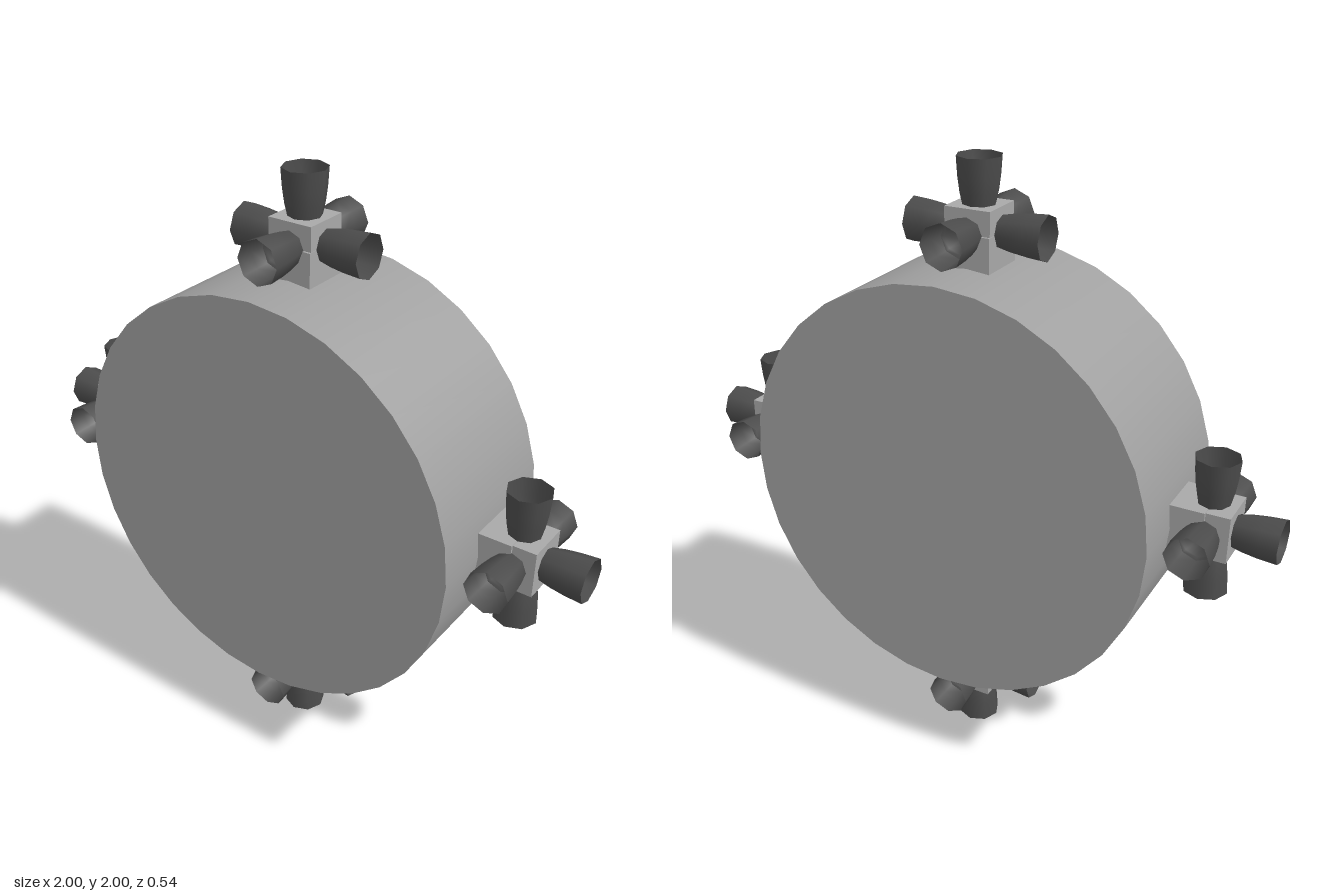
import * as THREE from 'three';

const bodyGrey = new THREE.MeshStandardMaterial({ color: 0xa0a0a0 });
bodyGrey.name = 'body grey';
const blockGrey = new THREE.MeshStandardMaterial({ color: 0xa8a8a8 });
blockGrey.name = 'block grey';
const nozzleGrey = new THREE.MeshStandardMaterial({ color: 0x4c4c4c, side: THREE.DoubleSide });
nozzleGrey.name = 'nozzle dark grey';

function add(parent, name, geometry, material, x = 0, y = 0, z = 0) {
  const mesh = new THREE.Mesh(geometry, material);
  mesh.name = name;
  mesh.position.set(x, y, z);
  parent.add(mesh);
  return mesh;
}

// Open bell with a curved wall, pointing along +y, with a small throat inside
const bellProfile = [[0.05, 0], [0.06, 0.045], [0.066, 0.09], [0.07, 0.148]];
const throatProfile = [[0.0, 0.012], [0.022, 0.012], [0.05, 0.04], [0.06, 0.046]];
const lathe = (points) => new THREE.LatheGeometry(points.map(([r, y]) => new THREE.Vector2(r, y)), 8);
const bellGeometry = lathe(bellProfile);
const throatGeometry = lathe(throatProfile);

function createNozzle() {
  const nozzle = new THREE.Group();
  nozzle.name = 'nozzle';
  add(nozzle, 'bell', bellGeometry, nozzleGrey);
  add(nozzle, 'throat', throatGeometry, nozzleGrey);
  return nozzle;
}

// Thruster block with five nozzles, its foot towards -y
function createThrusterPod() {
  const pod = new THREE.Group();
  pod.name = 'thrusterPod';
  add(pod, 'block', new THREE.BoxGeometry(0.15, 0.15, 0.15), blockGrey);
  add(pod, 'foot', new THREE.BoxGeometry(0.154, 0.115, 0.165), blockGrey, 0, -0.0575, 0);

  const directions = [[0, 1, 0], [1, 0, 0], [-1, 0, 0], [0, 0, 1], [0, 0, -1]];
  const up = new THREE.Vector3(0, 1, 0);
  for (const d of directions) {
    const direction = new THREE.Vector3(...d);
    const nozzle = createNozzle();
    nozzle.quaternion.setFromUnitVectors(up, direction);
    nozzle.position.copy(direction).multiplyScalar(d[1] ? 0.067 : 0.076);
    pod.add(nozzle);
  }
  return pod;
}

export function createModel() {
  const model = new THREE.Group();
  model.name = 'thrusterRing';

  // Drum lying on its side, its flat faces to front and back
  const drum = new THREE.CylinderGeometry(0.685, 0.685, 0.536, 32);
  drum.rotateX(Math.PI / 2);
  add(model, 'drum', drum, bodyGrey, 0, 1, 0);

  // Four pods spaced evenly around the rim
  for (let i = 0; i < 4; i++) {
    const angle = (i * Math.PI) / 2;
    const pod = createThrusterPod();
    pod.rotation.z = angle;
    pod.position.set(-Math.sin(angle) * 0.785, 1 + Math.cos(angle) * 0.785, 0);
    model.add(pod);
  }
  return model;
}
